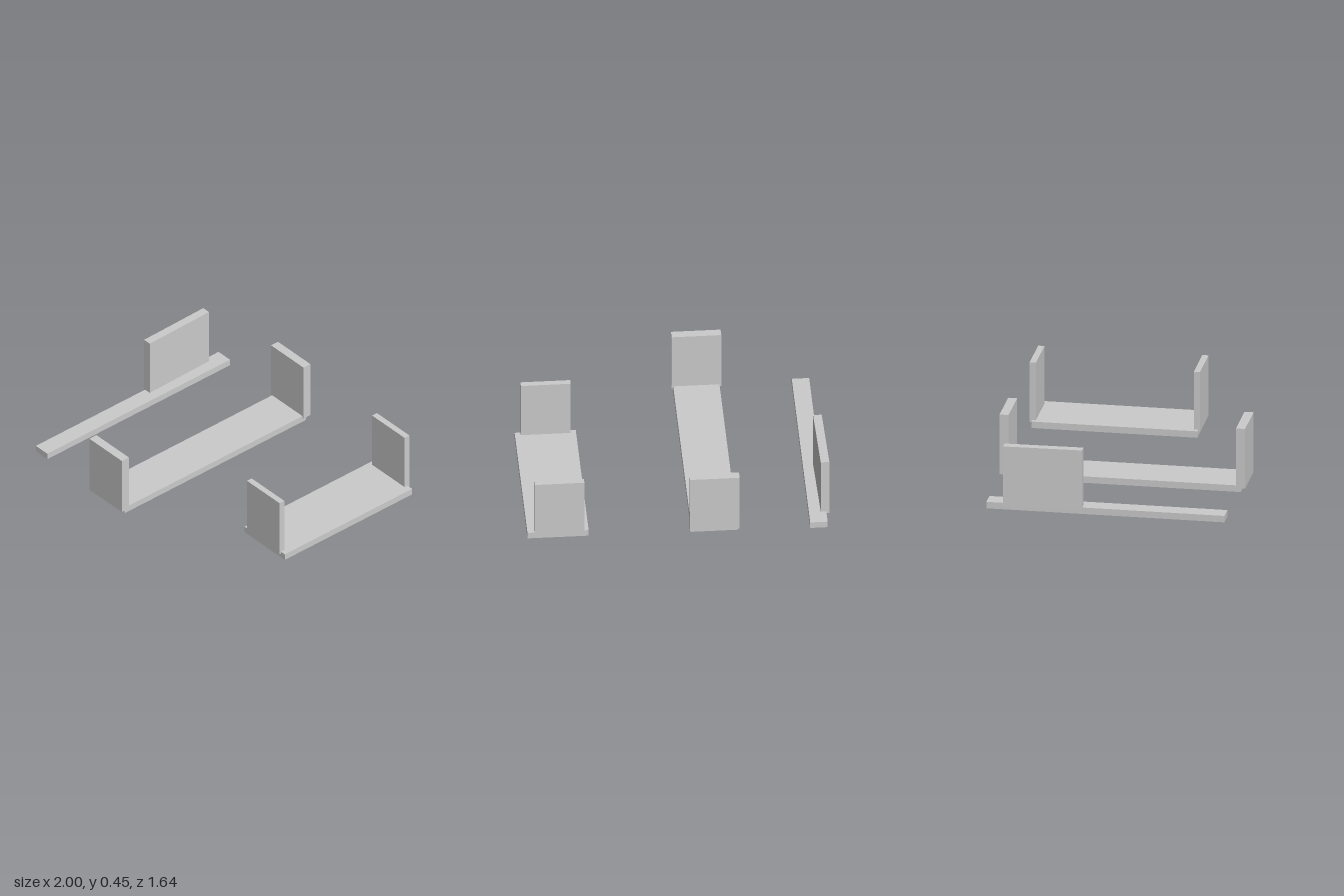
import * as THREE from 'three';

const material = new THREE.MeshStandardMaterial({ color: 0xcccccc, flatShading: true });

// Box given by its [min, max] extent on each axis
function slab(name, [x0, x1], [y0, y1], [z0, z1]) {
  const mesh = new THREE.Mesh(new THREE.BoxGeometry(x1 - x0, y1 - y0, z1 - z0), material);
  mesh.name = name;
  mesh.position.set((x0 + x1) / 2, (y0 + y1) / 2, (z0 + z1) / 2);
  return mesh;
}

function section(name, ...parts) {
  const group = new THREE.Group();
  group.name = name;
  group.add(...parts);
  return group;
}

export function createModel() {
  const model = new THREE.Group();
  model.name = 'platformsWithWalls';
  const floorY = [0, 0.045];
  const wallY = [0.03, 0.447];

  // Narrow strip with one slightly turned side wall
  const sideWall = slab('sideWall', [-0.993, -0.936], wallY, [-0.692, -0.168]);
  sideWall.rotation.y = 0.02;
  model.add(section('narrowPlatform',
    slab('narrowFloor', [-0.978, -0.863], floorY, [-0.807, 0.78]),
    sideWall));

  // Long platform with a wall at each end
  model.add(section('longPlatform',
    slab('longFloor', [-0.385, -0.08], floorY, [-0.79, 0.787]),
    slab('longBackWall', [-0.397, -0.07], wallY, [-0.82, -0.76]),
    slab('longFrontWall', [-0.397, -0.07], wallY, [0.756, 0.817])));

  // Short platform with a wall at each end
  model.add(section('shortPlatform',
    slab('shortFloor', [0.595, 0.998], floorY, [-0.78, 0.326]),
    slab('shortBackWall', [0.624, 0.952], wallY, [-0.797, -0.755]),
    slab('shortFrontWall', [0.631, 0.959], wallY, [0.297, 0.338])));

  return model;
}
